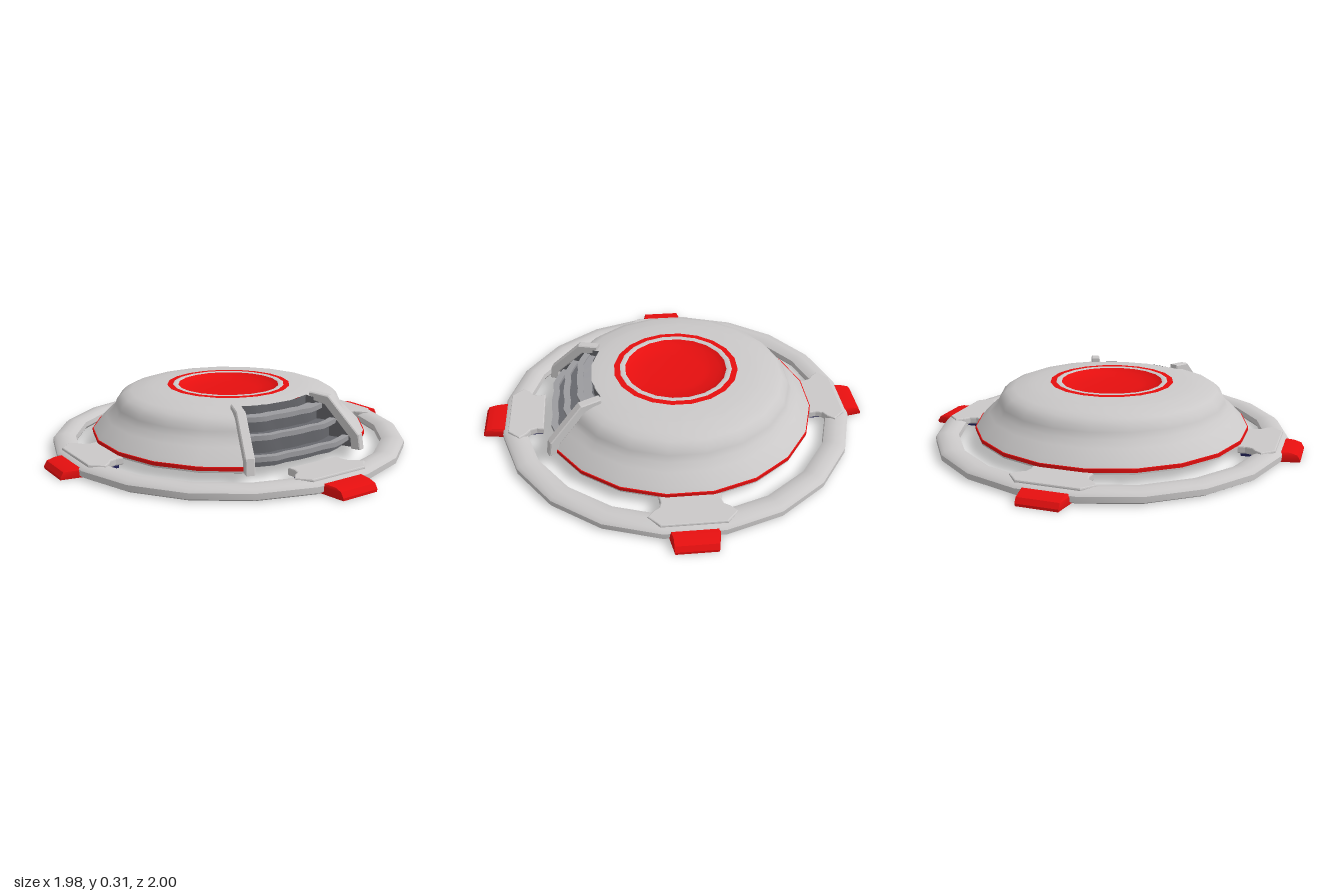
import * as THREE from 'three';
import { toCreasedNormals } from 'three/addons/utils/BufferGeometryUtils.js';

const RAD = Math.PI / 180;
const GAP = 27 * RAD; // half angle of the front opening
const material = (name, color) => {
  const m = new THREE.MeshStandardMaterial({ color, side: THREE.DoubleSide });
  m.name = name;
  return m;
};

export function createModel() {
  const hull = material('light grey hull', 0xcac8c8);
  const red = material('red trim', 0xe60f0f);
  const slatGrey = material('slat grey', 0x9b9b9f);
  const dark = material('dark grey', 0x66676c);
  const navy = material('navy', 0x22225a);

  const model = new THREE.Group();
  model.name = 'saucer';
  const core = new THREE.Group();
  core.name = 'body';
  core.position.z = -0.01;
  model.add(core);

  const add = (name, geometry, mat, parent = core) => {
    const mesh = new THREE.Mesh(geometry, mat);
    mesh.name = name;
    parent.add(mesh);
    return mesh;
  };
  const vecs = (pts) => pts.map(([x, y]) => new THREE.Vector2(x, y));
  const lathe = (pts, segs = 20, start = 9 * RAD, length = Math.PI * 2) =>
    toCreasedNormals(new THREE.LatheGeometry(vecs(pts), segs, start, length), 0.7);
  const openLathe = (pts) => lathe(pts, 17, GAP, Math.PI * 2 - 2 * GAP);

  // Dome shell, open at the front
  const shell = [[0.708, 0.085], [0.69, 0.105], [0.64, 0.155], [0.605, 0.185], [0.59, 0.215],
    [0.58, 0.24], [0.55, 0.267], [0.51, 0.282], [0.44, 0.294]];
  add('domeShell', openLathe(shell), hull);
  add('domeStripe', openLathe([[0.712, 0.067], [0.712, 0.085], [0.7, 0.087]]), red);
  add('domeLip', openLathe([[0.675, 0.06], [0.7, 0.054], [0.71, 0.058], [0.71, 0.067]]), hull);

  // Top of the dome with its red ring and shallow dish
  add('domeTop', lathe([[0.44, 0.294], [0.4, 0.3], [0.32, 0.304]]), hull);
  add('topRing', lathe([[0.32, 0.304], [0.29, 0.305]]), red);
  add('dishRim', lathe([[0.29, 0.305], [0.275, 0.308], [0.262, 0.303]]), hull);
  add('dish', lathe([[0.262, 0.303], [0.235, 0.285], [0.15, 0.277], [0, 0.275]]), red);

  // Stepped vent in the front opening; its middle sits slightly further in
  const ventLathe = (pts) => {
    const g = new THREE.LatheGeometry(vecs(pts), 9, -GAP, 2 * GAP);
    const p = g.attributes.position;
    for (let i = 0; i < p.count; i++) {
      if (Math.abs(Math.atan2(p.getX(i), p.getZ(i))) < 10 * RAD) {
        p.setX(i, p.getX(i) * 0.97);
        p.setZ(i, p.getZ(i) * 0.97);
      }
    }
    return toCreasedNormals(g, 0.5);
  };
  const steps = [[0.64, 0.06], [0.64, 0.1], [0.57, 0.1], [0.57, 0.18], [0.5, 0.18],
    [0.5, 0.25], [0.44, 0.25], [0.44, 0.294]];
  add('ventSteps', ventLathe(steps), dark);
  [[0.5, 0.25], [0.575, 0.183], [0.645, 0.105]].forEach(([r, y]) => {
    const a = r - 0.005, b = r + 0.028, h = 0.012;
    add('ventSlat', ventLathe([[a, y - h], [b, y - h], [b, y + h], [a, y + h], [a, y - h]]), slatGrey);
  });
  add('ventShelf', ventLathe([[0.497, 0.254], [0.45, 0.256]]), slatGrey);

  // Walls and rails on both sides of the opening
  const cheek = new THREE.Shape(vecs([[0.7, 0.06], ...shell, ...steps.slice(0, -1).reverse()]));
  const rail = new THREE.Shape(vecs([[0, 0.306], [0.1, 0.298], [0.268, 0.13], [0.28, 0.062],
    [0.24, 0.062], [0.235, 0.11], [0.085, 0.262], [0, 0.275]]));
  for (const side of [-1, 1]) {
    const wall = add('ventWall', new THREE.ShapeGeometry(cheek), dark);
    wall.rotation.y = -Math.PI / 2 + side * GAP;
    const g = new THREE.ExtrudeGeometry(rail, { depth: 0.036, bevelEnabled: true,
      bevelSize: 0.005, bevelThickness: 0.005, bevelSegments: 1 });
    g.translate(0, 0, -0.018);
    g.rotateY(-Math.PI / 2);
    const bar = add('ventRail', g, hull);
    bar.position.set(side * 0.232, 0, 0.4);
    bar.rotation.y = side * 21 * RAD;
  }

  // Outer ring
  add('outerRing', lathe([[0.805, 0.008], [0.83, 0], [0.895, 0], [0.915, 0.012], [0.915, 0.04],
    [0.9, 0.054], [0.86, 0.061], [0.825, 0.058], [0.8, 0.045], [0.797, 0.02], [0.805, 0.008]]), hull);

  // Flared bridge between dome and ring
  const half = [[0.14, 0.7], [0.135, 0.73], [0.145, 0.765], [0.175, 0.785], [0.2, 0.815]];
  const bridge = new THREE.Shape(vecs([...half, [0.15, 0.87], [-0.15, 0.87],
    ...half.map(([x, r]) => [-x, r]).reverse()]));
  const bridgeGeo = new THREE.ExtrudeGeometry(bridge, { depth: 0.024, bevelEnabled: true,
    bevelSize: 0.006, bevelThickness: 0.007, bevelSegments: 2 });
  bridgeGeo.rotateX(Math.PI / 2);
  bridgeGeo.translate(0, 0.061, 0);

  // Tapered pad with a recessed underside, lofted from rectangular loops
  const padGeometry = (outer) => {
    const loops = [
      [0.11, 0.88, 0.1, outer - 0.05, 0.046],
      [0.118, 0.88, 0.1, outer - 0.015, 0.036],
      [0.12, 0.88, 0.1, outer, 0.012],
      [0.118, 0.88, 0.098, outer, 0],
      [0.095, 0.9, 0.08, outer - 0.018, 0],
      [0.09, 0.9, 0.075, outer - 0.022, 0.014]];
    const pos = [], index = [];
    loops.forEach(([wi, ri, wo, ro, y], k) => {
      pos.push(-wi, y, ri, -wo, y, ro, wo, y, ro, wi, y, ri);
      for (let j = 0; k && j < 4; j++) {
        const a = (k - 1) * 4 + j, b = (k - 1) * 4 + (j + 1) % 4;
        index.push(a, a + 4, b, b, a + 4, b + 4);
      }
    });
    const e = (loops.length - 1) * 4;
    index.push(0, 1, 2, 0, 2, 3, e, e + 2, e + 1, e, e + 3, e + 2);
    const g = new THREE.BufferGeometry();
    g.setAttribute('position', new THREE.Float32BufferAttribute(pos, 3));
    g.setIndex(index);
    return toCreasedNormals(g, 0.5);
  };

  // Bridge, thruster and pad on each of the four sides
  [1.01, 0.99, 0.99, 0.99].forEach((outer, i) => {
    const arm = new THREE.Group();
    arm.name = 'arm';
    arm.rotation.y = i * Math.PI / 2;
    core.add(arm);
    add('bridge', bridgeGeo, hull, arm);
    add('thruster', new THREE.BoxGeometry(0.24, 0.02, 0.1), navy, arm).position.set(0, 0.02, 0.755);
    add('pad', padGeometry(outer), red, arm);
  });

  return model;
}
